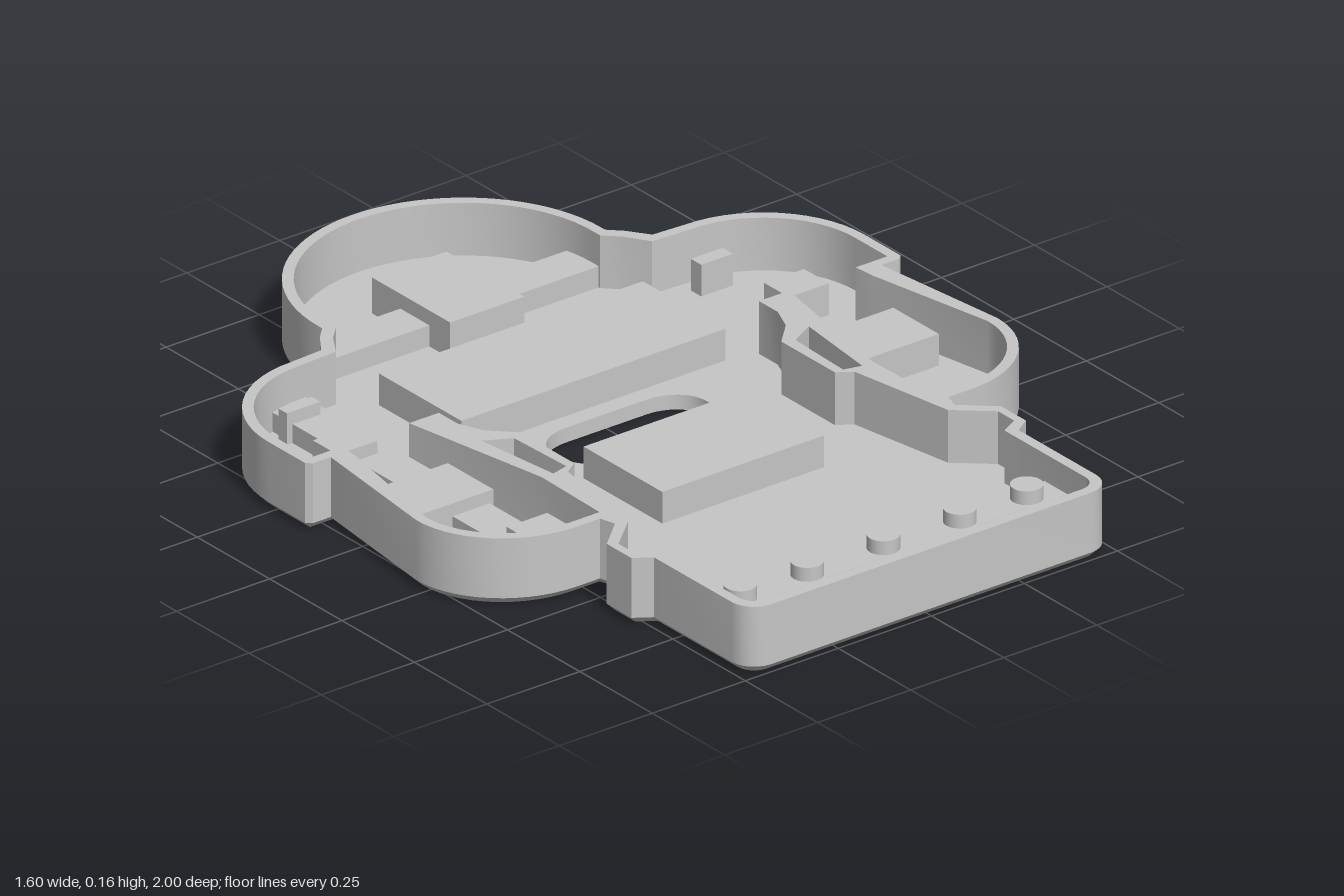
import * as THREE from 'three';
import { toCreasedNormals } from 'three/addons/utils/BufferGeometryUtils.js';

const HEIGHT = 0.16, FLOOR = 0.035, CHAMFER = 0.018;

// Elliptical arc as [x, z] points; angle 0 points to -z, 90 degrees to +x
function arc(cx, cz, rx, rz, from, to, steps = 14) {
  return Array.from({ length: steps + 1 }, (_, i) => {
    const a = THREE.MathUtils.degToRad(from + (to - from) * i / steps);
    return [cx + rx * Math.sin(a), cz - rz * Math.cos(a)];
  });
}

// Completes a +x half outline with its mirror image
const mirrored = (half) => [
  ...half,
  ...half.filter(([x]) => x > 0.001).reverse().map(([x, z]) => [-x, z]),
];

// Moves a closed outline inwards by d with mitred corners
function inset(points, d) {
  const n = points.length;
  const normal = (a, b) => new THREE.Vector2(a[1] - b[1], b[0] - a[0]).normalize();
  return points.map((p, i) => {
    const n1 = normal(points[(i + n - 1) % n], p), n2 = normal(p, points[(i + 1) % n]);
    const k = d / Math.max(1 + n1.dot(n2), 0.4);
    return [p[0] + (n1.x + n2.x) * k, p[1] + (n1.y + n2.y) * k];
  });
}

// Extrudes an [x, z] outline with holes upwards from y0 to y1
function slab(points, holes, y0, y1) {
  const vec = (list) => list.map(([x, z]) => new THREE.Vector2(x, -z));
  // Outline runs counter-clockwise so that hole walls face into the holes
  const shape = new THREE.Shape(vec(points).reverse());
  shape.holes = holes.map((h) => new THREE.Path(vec(h)));
  const g = new THREE.ExtrudeGeometry(shape, { depth: y1 - y0, bevelEnabled: false });
  g.rotateX(-Math.PI / 2).translate(0, y0, 0);
  return toCreasedNormals(g, 0.5);
}

// Sloping band between the inset base outline and the full outline
function skirt(top, bottom) {
  const pos = [];
  top.forEach((p, i) => {
    const j = (i + 1) % top.length;
    const P = [p[0], CHAMFER, p[1]], R = [top[j][0], CHAMFER, top[j][1]];
    const Q = [bottom[i][0], 0, bottom[i][1]], S = [bottom[j][0], 0, bottom[j][1]];
    pos.push(...P, ...R, ...Q, ...R, ...S, ...Q);
  });
  const g = new THREE.BufferGeometry();
  g.setAttribute('position', new THREE.Float32BufferAttribute(pos, 3));
  return toCreasedNormals(g, 0.5);
}

export function createModel() {
  const group = new THREE.Group();
  const grey = new THREE.MeshStandardMaterial({ color: 0xc6c6c6 });
  grey.name = 'grey';

  const add = (name, geometry) => {
    const mesh = new THREE.Mesh(geometry, grey);
    mesh.name = name;
    group.add(mesh);
    return mesh;
  };
  // Block given by its plan limits and height above the floor
  const block = (name, x0, x1, z0, z1, h) => {
    const g = new THREE.BoxGeometry(x1 - x0, h + 0.005, z1 - z0);
    g.translate((x0 + x1) / 2, FLOOR + (h - 0.005) / 2, (z0 + z1) / 2);
    return add(name, g);
  };

  // Outer silhouette: head, shoulders, arms, waist and base
  const outer = mirrored([
    ...arc(0, -0.63, 0.38, 0.37, 0, 90, 20),
    [0.38, -0.615], [0.41, -0.585], [0.445, -0.535],
    ...arc(0.53, -0.26, 0.27, 0.27, 0, 90),
    [0.8, -0.135], [0.788, -0.123], [0.74, -0.123],
    ...arc(0.53, 0.225, 0.25, 0.232, 90, 180),
    [0.468, 0.457], [0.457, 0.495], [0.53, 0.56], [0.53, 0.645], [0.49, 0.672],
    ...arc(0.43, 0.94, 0.06, 0.06, 90, 180, 6),
    [0, 1],
  ]);
  // Inner edge of the wall
  const inner = mirrored([
    ...arc(0, -0.63, 0.355, 0.345, 0, 90, 20),
    [0.355, -0.6], [0.39, -0.565], [0.425, -0.51],
    ...arc(0.53, -0.26, 0.245, 0.245, 0, 90),
    [0.775, -0.148], [0.69, -0.148], [0.695, -0.093],
    ...arc(0.53, 0.225, 0.225, 0.207, 90, 180),
    [0.45, 0.432], [0.445, 0.227], [0.51, -0.148], [0.43, -0.148], [0.43, -0.083],
    [0.405, -0.023], [0.35, 0.032], [0.35, 0.217], [0.385, 0.24],
    [0.43, 0.505], [0.51, 0.575], [0.51, 0.63], [0.465, 0.655],
    ...arc(0.425, 0.935, 0.04, 0.04, 90, 180, 6),
    [0, 0.975],
  ]);
  // Gaps between arms and body, and the rounded slot in the middle
  const gap = [[0.44, 0.012], [0.378, 0.045], [0.372, 0.217], [0.415, 0.228]];
  const gaps = [gap, gap.map(([x, z]) => [-x, z])];
  const slot = mirrored([
    [0, -0.123], ...arc(0.11, -0.043, 0.095, 0.08, 0, 90, 8),
    ...arc(0.11, -0.02, 0.095, 0.083, 90, 180, 8), [0, 0.063],
  ]);

  const base = inset(outer, CHAMFER);
  add('floor', slab(base, [...gaps, slot], 0, FLOOR));
  add('bottomChamfer', skirt(outer, base));
  add('wall', slab(outer, [inner, ...gaps], CHAMFER, HEIGHT));

  // Head bar and block
  block('headBar', -0.36, 0.36, -0.705, -0.605, 0.05);
  block('headBlock', -0.1, 0.1, -0.803, -0.533, 0.085);

  // Body blocks
  block('chestBlock', -0.355, 0.355, -0.452, -0.167, 0.075);
  block('bellyBlock', -0.225, 0.21, 0.088, 0.36, 0.075);

  // Arm blocks on both sides
  for (const s of [-1, 1]) {
    const pair = (name, x0, x1, z0, z1, h) =>
      block(name, Math.min(s * x0, s * x1), Math.max(s * x0, s * x1), z0, z1, h);
    pair('shoulderBlock', 0.553, 0.66, -0.288, -0.202, 0.075);
    pair('forearmBlock', 0.5, 0.697, -0.027, 0.13, 0.075);
    pair('handBlock', 0.478, 0.587, 0.288, 0.373, 0.075);
  }
  block('shoulderTab', -0.625, -0.535, -0.452, -0.422, 0.075);
  block('shoulderTab', 0.5, 0.585, -0.473, -0.437, 0.075);

  // Raised strip along one arm
  block('armStrip', -0.61, -0.51, -0.508, 0.43, 0.045);

  // Bottom rail with short stubs and round studs
  block('bottomRail', -0.467, 0.467, 0.793, 0.872, 0.06);
  for (const x of [-0.383, -0.203, 0.002, 0.207, 0.387]) {
    block('railStub', x - 0.024, x + 0.024, 0.86, 0.977, 0.06);
    const stud = new THREE.CylinderGeometry(0.036, 0.036, 0.035, 24);
    add('stud', stud).position.set(x, FLOOR + 0.075, 0.832);
  }
  return group;
}
